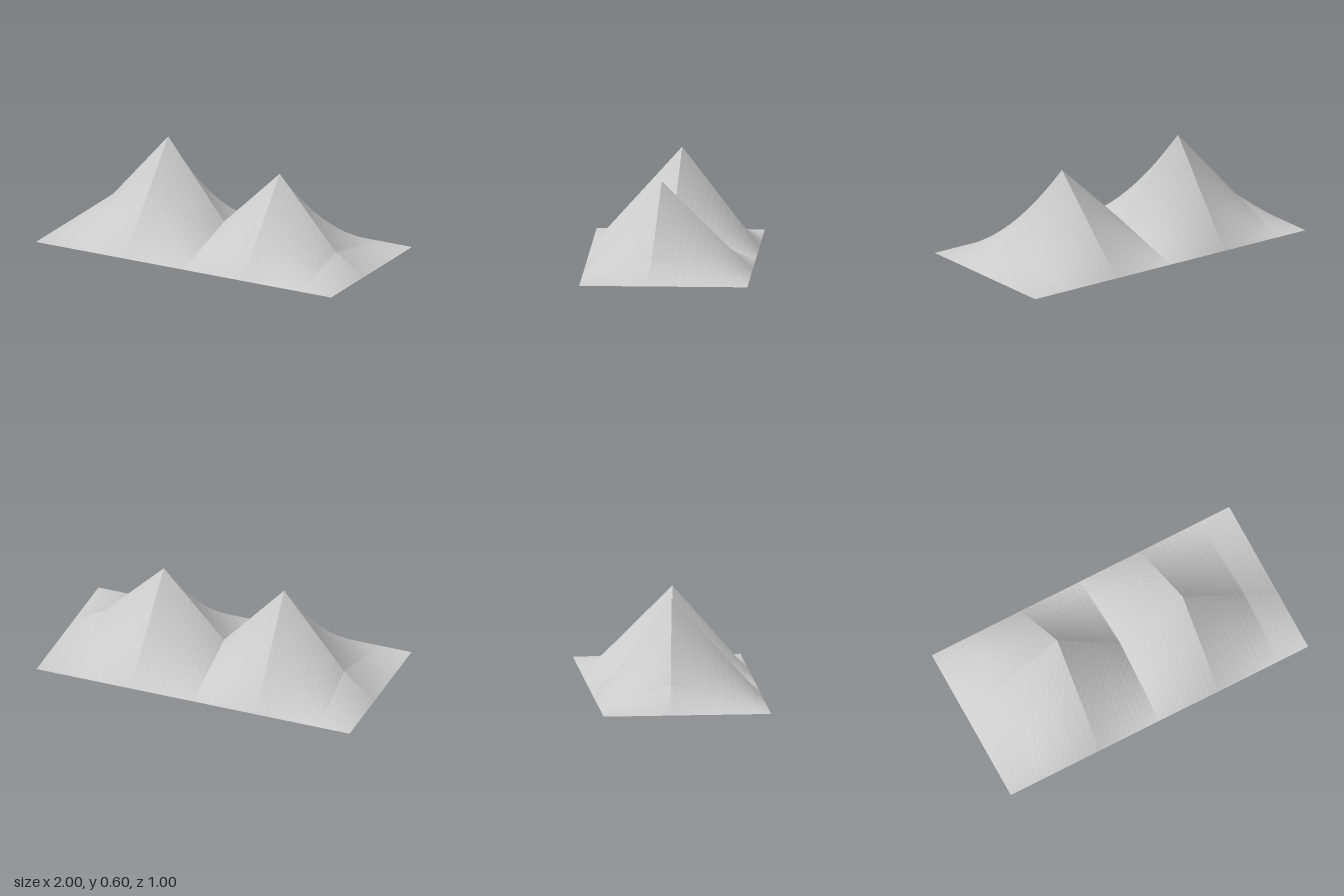
import * as THREE from 'three';

// Ridge line: x position and height; it runs slightly askew across the plan
const RIDGE = [[-1, 0], [-0.8, 0.15], [-0.4, 0.6], [0, 0.145], [0.4, 0.53], [0.8, 0.12], [1, 0]];
const HALF_DEPTH = 0.5;
const SKEW = 0.1;
const COLUMN = 0.04; // width of a facet along the ridge
const ROWS = 12;     // facets from ridge to eave

// Ridge points, subdivided evenly between the bends
function ridgePoints() {
  const points = [];
  RIDGE.forEach(([x, y], i) => {
    if (i > 0) {
      const [px, py] = RIDGE[i - 1];
      const steps = Math.round((x - px) / COLUMN);
      for (let k = 1; k < steps; k++) {
        const t = k / steps;
        points.push(new THREE.Vector3(px + (x - px) * t, py + (y - py) * t, 0));
      }
    }
    points.push(new THREE.Vector3(x, y, 0));
  });
  points.forEach(p => { p.z = p.x * SKEW; });
  return points;
}

// Ruled slope: straight lines from the ridge down to a level eave
function slope(ridge, side) {
  const positions = [], index = [];
  for (const top of ridge) {
    const eave = new THREE.Vector3(top.x, 0, side * HALF_DEPTH);
    for (let r = 0; r <= ROWS; r++) {
      positions.push(...top.clone().lerp(eave, r / ROWS).toArray());
    }
  }
  for (let c = 0; c < ridge.length - 1; c++) {
    for (let r = 0; r < ROWS; r++) {
      const a = c * (ROWS + 1) + r, b = a + 1;
      const d = a + ROWS + 1, e = d + 1;
      if (side > 0) index.push(a, b, d, b, e, d);
      else index.push(a, d, b, b, d, e);
    }
  }
  const geometry = new THREE.BufferGeometry();
  geometry.setAttribute('position', new THREE.Float32BufferAttribute(positions, 3));
  geometry.setIndex(index);
  geometry.computeVertexNormals();
  return geometry;
}

export function createModel() {
  const group = new THREE.Group();
  group.name = 'twinPeakRoof';
  const material = new THREE.MeshStandardMaterial({
    color: 0xcccccc, flatShading: true, side: THREE.DoubleSide,
  });
  const ridge = ridgePoints();

  // Front and back slopes meet along the ridge
  for (const [name, side] of [['frontSlope', 1], ['backSlope', -1]]) {
    const mesh = new THREE.Mesh(slope(ridge, side), material);
    mesh.name = name;
    group.add(mesh);
  }
  return group;
}
